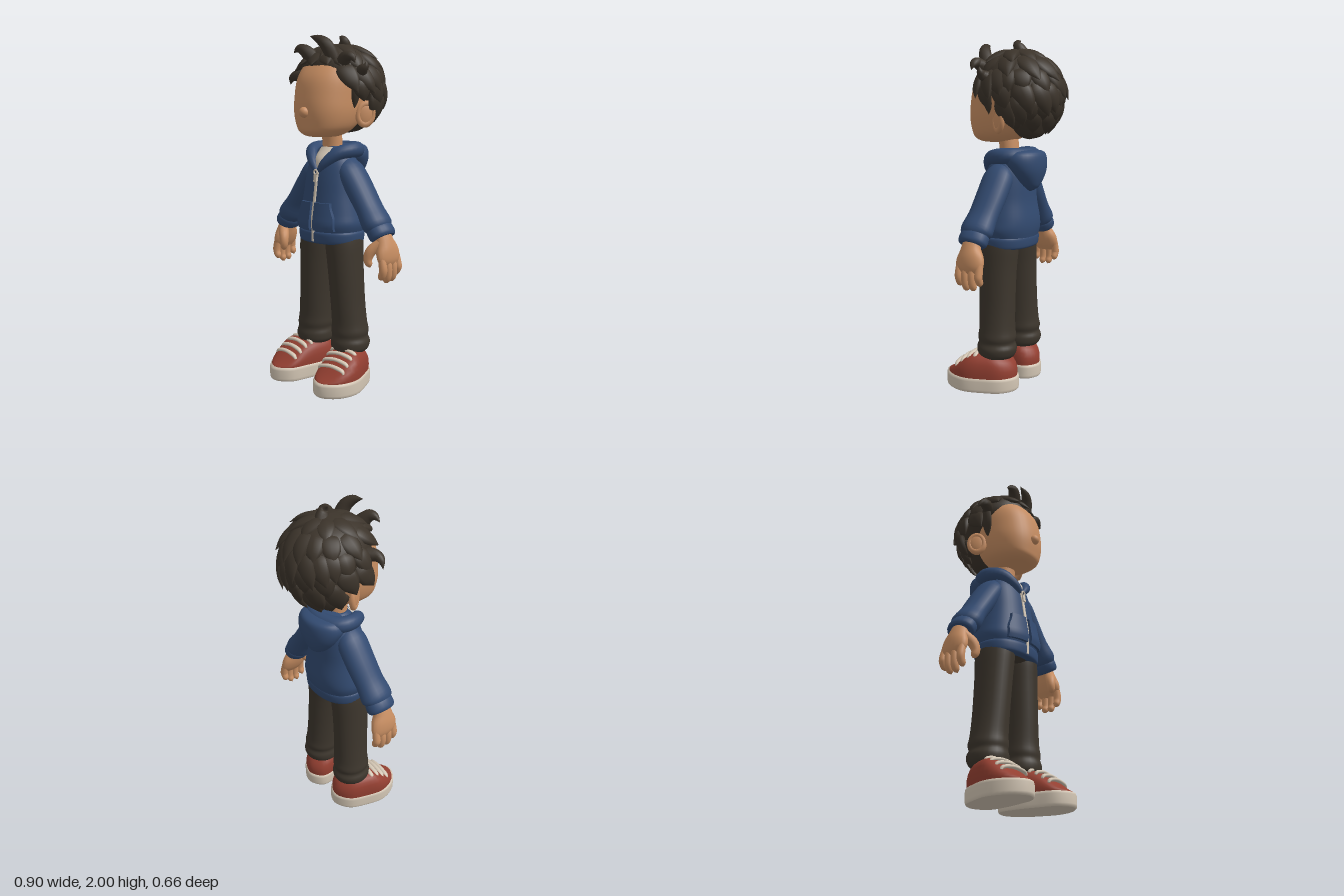
import * as THREE from 'three';

const { smoothstep, lerp } = THREE.MathUtils;
const mat = (name, color) => Object.assign(new THREE.MeshStandardMaterial({ color }), { name });
const M = {
  skin: mat('skin', 0xc98f63), hair: mat('dark brown hair', 0x3b332a), hoodie: mat('blue hoodie', 0x324a70),
  pants: mat('dark trousers', 0x3d362d), shoe: mat('red shoe', 0x933f31), cream: mat('cream', 0xd3c6b4),
};

// Closed surface through a list of rings, with flat end caps
function skin(rings) {
  const n = rings[0].length, pos = [], idx = [];
  rings.forEach(r => r.forEach(p => pos.push(p.x, p.y, p.z)));
  for (let i = 0; i < rings.length - 1; i++) for (let j = 0; j < n; j++) {
    const a = i * n + j, b = i * n + (j + 1) % n;
    idx.push(a, b, a + n, b, b + n, a + n);
  }
  [rings[0], rings[rings.length - 1]].forEach((r, end) => {
    const mid = r.reduce((s, p) => s.add(p), new THREE.Vector3()).divideScalar(n);
    if (mid.distanceTo(r[0]) < 0.002) return;
    const s = pos.length / 3;
    [mid, ...r].forEach(p => pos.push(p.x, p.y, p.z));
    for (let j = 0; j < n; j++) {
      const a = s + 1 + j, b = s + 1 + (j + 1) % n;
      end ? idx.push(s, a, b) : idx.push(s, b, a);
    }
  });
  const g = new THREE.BufferGeometry();
  g.setAttribute('position', new THREE.Float32BufferAttribute(pos, 3));
  g.setIndex(idx);
  g.computeVertexNormals();
  return g;
}

// Smooth limb through rows [x, y, z, ra, rb]; ra lies along ref, rb across it.
// flat keeps every ring horizontal; pow above 2 squares the section.
function limb(rows, { ref = [0, 0, 1], flat = false, pow = 2, n = 20, steps = 4 } = {}) {
  const at = i => rows[Math.max(0, Math.min(rows.length - 1, i))], samples = [];
  for (let k = 0; k <= (rows.length - 1) * steps; k++) {
    const i = Math.min(Math.floor(k / steps), rows.length - 2), t = k / steps - i;
    samples.push([0, 1, 2, 3, 4].map(c => {
      const [p0, p1, p2, p3] = [-1, 0, 1, 2].map(d => at(i + d)[c] ?? at(i + d)[3]);
      return p1 + 0.5 * t * (p2 - p0 + t * (2 * p0 - 5 * p1 + 4 * p2 - p3 + t * (3 * (p1 - p2) + p3 - p0)));
    }));
  }
  const pts = samples.map(s => new THREE.Vector3(s[0], s[1], s[2]));
  const sq = v => Math.sign(v) * Math.abs(v) ** (2 / pow);
  return skin(samples.map((s, i) => {
    const T = flat ? new THREE.Vector3(0, 1, 0)
      : pts[Math.min(i + 1, pts.length - 1)].clone().sub(pts[Math.max(i - 1, 0)]).normalize();
    const U = flat ? new THREE.Vector3(1, 0, 0) : new THREE.Vector3(...ref);
    U.addScaledVector(T, -U.dot(T)).normalize();
    const V = T.clone().cross(U);
    return Array.from({ length: n }, (_, j) => {
      const a = j / n * Math.PI * 2;
      return pts[i].clone().addScaledVector(U, Math.max(0, s[3]) * sq(Math.cos(a)))
        .addScaledVector(V, Math.max(0, s[4]) * sq(Math.sin(a)));
    });
  }));
}
// Upright body from rows [y, z, rx, rz] centred on x = 0
const body = (rows, opt) => limb(rows.map(([y, z, rx, rz]) => [0, y, z, rx, rz]), { flat: true, n: 32, ...opt });

function mirror(g) {
  const m = g.clone().scale(-1, 1, 1), ix = m.index;
  for (let i = 0; i < ix.count; i += 3) {
    const b = ix.getX(i + 1);
    ix.setX(i + 1, ix.getX(i + 2));
    ix.setX(i + 2, b);
  }
  return m;
}

// Hoodie torso rows, also used to lay details on its front
const TORSO = [[0.89, 0.015, 0.19, 0.155], [0.94, 0.015, 0.205, 0.165], [1.0, 0.01, 0.195, 0.16], [1.1, 0.01, 0.175, 0.145],
  [1.2, 0.005, 0.163, 0.135], [1.28, 0, 0.15, 0.12], [1.34, 0, 0.115, 0.09], [1.38, 0, 0.07, 0.06]];
function frontZ(x, y) {
  let i = 0;
  while (i < TORSO.length - 2 && TORSO[i + 1][0] < y) i++;
  const a = TORSO[i], b = TORSO[i + 1], t = Math.max(0, (y - a[0]) / (b[0] - a[0]));
  const [, z, rx, rz] = a.map((v, k) => lerp(v, b[k], t));
  return z + rz * (1 - Math.abs(x / rx) ** 2.3) ** (1 / 2.3);
}

// Tapered hair lock lying over the skull from polar angle t0 to t1
function lock(phi, t0, t1, swirl, w, lift) {
  const rows = [0.5, 1, 1, 0.68, 0].map((k, i) => {
    const f = i / 4, t = lerp(t0, t1, f), p = phi + swirl * f, e = 1 + lift * f * f - 0.04 * (1 - f);
    return [e * 0.245 * Math.sin(t) * Math.sin(p), 1.7 + e * 0.24 * Math.cos(t),
      -0.05 + e * 0.25 * Math.sin(t) * Math.cos(p), k * w, k * w * 0.45];
  });
  return limb(rows, { ref: [Math.cos(phi), 0, -Math.sin(phi)], n: 8 });
}
// How far down the hair reaches: high over the face, low at the nape
function hairline(phi) {
  const a = Math.abs(phi);
  return 1.08 + 0.78 * smoothstep(a, 0.75, 1.2) + 0.66 * smoothstep(a, 1.65, 2.0);
}

export function createModel() {
  const root = new THREE.Group();
  const group = name => {
    const g = new THREE.Group();
    g.name = name;
    root.add(g);
    return g;
  };
  const add = (parent, name, geo, material) => {
    const m = new THREE.Mesh(geo, material);
    m.name = name;
    parent.add(m);
  };
  const pair = (parent, name, geo, material) => {
    add(parent, name + 'Left', geo, material);
    add(parent, name + 'Right', mirror(geo), material);
  };

  // Head, nose, ears, neck
  const head = group('head');
  add(head, 'face', body([[1.43, 0.09, 0, 0], [1.436, 0.09, 0.075, 0.085], [1.46, 0.08, 0.125, 0.137], [1.5, 0.06, 0.157, 0.17],
    [1.57, 0.04, 0.178, 0.2], [1.65, 0.02, 0.184, 0.216], [1.75, 0, 0.184, 0.215], [1.83, -0.02, 0.165, 0.185],
    [1.9, -0.02, 0.1, 0.12], [1.93, -0.02, 0, 0]], { pow: 2.3, n: 40 }), M.skin);
  add(head, 'nose', new THREE.SphereGeometry(0.03, 20, 14).translate(0, 1.57, 0.238), M.skin);
  add(head, 'neck', body([[1.3, 0.01, 0.065, 0.06], [1.38, 0.01, 0.06, 0.056], [1.48, 0.02, 0.06, 0.056]]), M.skin);
  const place = g => g.rotateX(-0.15).rotateY(-0.55).translate(0.2, 1.56, -0.045);
  pair(head, 'earBowl', place(new THREE.SphereGeometry(1, 20, 14).scale(0.018, 0.068, 0.05)), M.skin);
  pair(head, 'earRim', place(new THREE.TorusGeometry(0.044, 0.016, 10, 28).rotateY(Math.PI / 2).scale(1, 1.28, 1)), M.skin);

  // Hair: cap, overlapping rings of locks, and loose tufts
  const hair = group('hair');
  add(hair, 'hairCap', body([[1.45, -0.12, 0, 0], [1.465, -0.13, 0.07, 0.05], [1.5, -0.13, 0.12, 0.08], [1.58, -0.12, 0.17, 0.13],
    [1.66, -0.12, 0.212, 0.17], [1.75, -0.07, 0.235, 0.22], [1.83, -0.05, 0.215, 0.22], [1.9, -0.04, 0.16, 0.17],
    [1.94, -0.04, 0.08, 0.09], [1.955, -0.04, 0, 0]]), M.hair);
  [[0.08, 0.85, 8], [0.5, 1.25, 13], [0.95, 1.6, 17], [1.3, 1.95, 17], [1.65, 2.25, 16], [1.95, 2.55, 14]].forEach(([t0, t1, n], r) => {
    for (let i = 0; i < n; i++) {
      const wob = Math.sin(i * 7.3 + r * 3.1);
      let phi = (i + r * 0.5) / n * Math.PI * 2 + wob * 0.08;
      if (phi > Math.PI) phi -= Math.PI * 2;
      const swirl = 0.22 + 0.12 * wob, end = Math.min(t1 + wob * 0.08, hairline(phi + swirl));
      if (end - t0 < 0.25) continue;
      const w = 0.95 * Math.PI * 0.25 * Math.sin((t0 + t1) / 2) / n * 1.25;
      add(hair, 'lock', lock(phi, t0, end, swirl, w, 0.1 + 0.05 * wob), M.hair);
    }
  });
  pair(hair, 'sideburn', limb([[0.2, 1.76, 0.03, 0.03, 0.02], [0.2, 1.69, 0.035, 0.035, 0.018], [0.188, 1.63, 0.03, 0.022, 0.012],
    [0.184, 1.59, 0.03, 0]], { n: 10 }), M.hair);
  [
    [[0.09, 1.86, 0.1, 0.04], [0.07, 1.93, 0.13, 0.036], [0.03, 1.965, 0.15, 0.025], [-0.03, 1.985, 0.16, 0]],
    [[0.0, 1.9, -0.1, 0.04], [0.02, 1.95, -0.07, 0.035], [0.02, 1.98, -0.055, 0.022], [-0.01, 2.0, -0.06, 0]],
    [[-0.04, 1.86, 0.12, 0.045], [-0.08, 1.91, 0.15, 0.035], [-0.12, 1.92, 0.16, 0.022], [-0.16, 1.9, 0.16, 0]],
    [[0.14, 1.84, 0.08, 0.04], [0.19, 1.87, 0.1, 0.032], [0.23, 1.86, 0.1, 0.02], [0.25, 1.83, 0.1, 0]],
    [[-0.19, 1.78, 0.03, 0.04], [-0.24, 1.78, 0.06, 0.032], [-0.28, 1.765, 0.06, 0.02], [-0.305, 1.73, 0.05, 0]],
    [[0.2, 1.78, 0.0, 0.04], [0.24, 1.8, 0.03, 0.03], [0.265, 1.82, 0.03, 0.018], [0.27, 1.845, 0.03, 0]],
  ].forEach(rows => add(hair, 'tuft', limb(rows, { ref: [0.2, 0, 1], n: 10 }), M.hair));

  // Hoodie body, hem, hood
  const top = group('hoodie');
  add(top, 'torso', body(TORSO, { pow: 2.3, n: 40 }), M.hoodie);
  add(top, 'hem', body([[0.83, 0.018, 0.184, 0.146], [0.842, 0.018, 0.196, 0.157], [0.888, 0.018, 0.2, 0.16],
    [0.903, 0.018, 0.188, 0.148]], { pow: 2.3, n: 40 }), M.hoodie);
  const rim = [[0.008, 1.24, 0.138, 0.012], [0.045, 1.285, 0.125, 0.026], [0.1, 1.34, 0.075, 0.038], [0.135, 1.358, 0, 0.043],
    [0.11, 1.358, -0.075, 0.046], [0, 1.355, -0.115, 0.048]];
  const rimBack = rim.slice(0, -1).reverse().map(([x, ...rest]) => [-x, ...rest]);
  add(top, 'hoodRim', limb([...rim, ...rimBack], { ref: [0, 1, 0], n: 16 }), M.hoodie);
  add(top, 'hoodBag', body([[1.15, -0.12, 0, 0], [1.175, -0.125, 0.045, 0.045], [1.21, -0.125, 0.085, 0.066], [1.27, -0.12, 0.13, 0.088],
    [1.33, -0.1, 0.153, 0.11], [1.375, -0.1, 0.135, 0.098], [1.39, -0.1, 0.08, 0.06], [1.392, -0.1, 0, 0]]), M.hoodie);

  // Pocket halves wrapped on the torso front
  const pocket = new THREE.BoxGeometry(1, 1, 1, 8, 8, 1), p = pocket.attributes.position;
  for (let i = 0; i < p.count; i++) {
    const v = p.getY(i) + 0.5, y = 0.908 + 0.157 * v;
    const x = 0.014 + (p.getX(i) + 0.5) * (0.126 - 0.03 * smoothstep(v, 0.3, 1));
    p.setXYZ(i, x, y, frontZ(x, y) + (p.getZ(i) > 0 ? 0.018 : -0.015));
  }
  pocket.computeVertexNormals();
  pair(top, 'pocket', pocket, M.hoodie);

  // Zip, zip pull, undershirt
  const zip = [0.842, 0.9, 0.98, 1.06, 1.14, 1.2, 1.25].map(y => [0, y, frontZ(0, y) + 0.003, 0.011, 0.006]);
  add(top, 'zip', limb(zip, { ref: [1, 0, 0], n: 8 }), M.cream);
  add(top, 'zipPull', new THREE.BoxGeometry(0.022, 0.04, 0.009).rotateX(-0.13).translate(0, 1.2, 0.153), M.cream);
  add(top, 'zipRing', new THREE.TorusGeometry(0.013, 0.005, 8, 20).translate(0, 1.235, 0.15), M.cream);
  add(top, 'undershirt', body([[1.22, 0.07, 0.05, 0.06], [1.26, 0.065, 0.06, 0.071], [1.31, 0.05, 0.072, 0.075],
    [1.355, 0.02, 0.072, 0.068], [1.375, 0.012, 0.065, 0.06]]), M.cream);

  // Sleeves and cuffs
  const arms = group('arms');
  pair(arms, 'sleeve', limb([[0.08, 1.29, 0, 0.05, 0.045], [0.13, 1.24, 0, 0.09, 0.068], [0.2, 1.145, 0, 0.093, 0.07],
    [0.28, 1.035, 0.005, 0.09, 0.066], [0.335, 0.96, 0.01, 0.098, 0.073], [0.355, 0.93, 0.01, 0.08, 0.06]]), M.hoodie);
  pair(arms, 'cuff', limb([[0.342, 0.948, 0.01, 0.075, 0.056], [0.355, 0.931, 0.01, 0.087, 0.066], [0.376, 0.902, 0.01, 0.087, 0.066],
    [0.385, 0.889, 0.01, 0.077, 0.056]]), M.hoodie);

  // Hands
  pair(arms, 'palm', limb([[0.37, 0.92, 0.01, 0.05, 0.043], [0.39, 0.87, 0.01, 0.06, 0.044], [0.405, 0.82, 0.005, 0.083, 0.044],
    [0.417, 0.77, 0.003, 0.085, 0.034], [0.42, 0.735, 0.003, 0.055, 0.016]]), M.skin);
  [[0.066, 0.665], [0.023, 0.642], [-0.021, 0.645], [-0.063, 0.675]].forEach(([z, y]) => pair(arms, 'finger',
    limb([[0.415, 0.79, z, 0.02], [0.427, 0.735, z, 0.023], [0.426, y + 0.04, z, 0.022], [0.412, y + 0.012, z, 0.018],
      [0.402, y, z, 0]], { n: 12 }), M.skin));
  pair(arms, 'thumb', limb([[0.39, 0.865, 0.04, 0.03], [0.35, 0.82, 0.075, 0.03], [0.336, 0.775, 0.087, 0.025],
    [0.344, 0.742, 0.083, 0.018], [0.35, 0.728, 0.08, 0]], { n: 12 }), M.skin);

  // Trousers with gathered ankles
  const legs = group('trousers');
  add(legs, 'seat', body([[0.815, 0.02, 0.1, 0.08], [0.84, 0.02, 0.18, 0.122], [0.9, 0.02, 0.18, 0.13]]), M.pants);
  pair(legs, 'leg', limb([[0.14, 0.195, 0.01, 0.092, 0.098], [0.14, 0.215, 0.01, 0.108, 0.113], [0.141, 0.25, 0.008, 0.111, 0.118],
    [0.139, 0.282, 0.01, 0.101, 0.108], [0.138, 0.315, 0.008, 0.106, 0.113], [0.134, 0.37, 0.01, 0.1, 0.107],
    [0.125, 0.5, 0.015, 0.095, 0.108], [0.112, 0.7, 0.02, 0.097, 0.114], [0.102, 0.83, 0.02, 0.1, 0.122],
    [0.1, 0.9, 0.02, 0.09, 0.12]], { flat: true, n: 28 }), M.pants);

  // Shoes: one footprint drives the sole and the domed upper
  const shoes = group('shoes');
  const print = new THREE.CatmullRomCurve3([[0.125, -0.12], [0.04, -0.07], [0.036, 0.05], [0.058, 0.16], [0.095, 0.275], [0.185, 0.325],
    [0.276, 0.265], [0.312, 0.15], [0.278, 0.03], [0.222, -0.075]].map(([x, z]) => new THREE.Vector3(x, 0, z)), true).getPoints(40).slice(0, 40);
  const height = z => 0.02 + 0.125 * (1 - smoothstep(z, 0.08, 0.33)) - 0.03 * (1 - smoothstep(z, -0.12, 0));
  const ring = (s, yOf) => print.map(q => {
    const x = 0.16 + (q.x - 0.16) * s, z = 0.06 + (q.z - 0.06) * s;
    return new THREE.Vector3(x, yOf(z), z);
  });
  pair(shoes, 'sole', skin([[0.96, 0], [0.99, 0.006], [1, 0.018], [1, 0.066], [0.985, 0.077], [0.95, 0.082]]
    .map(([s, y]) => ring(s, () => y))), M.cream);
  pair(shoes, 'upper', skin([[0.94, 0], [0.95, 0.2], [0.94, 0.4], [0.9, 0.6], [0.82, 0.76], [0.7, 0.88], [0.55, 0.95], [0.35, 1], [0.1, 1.01]]
    .map(([s, h]) => ring(s, z => 0.075 + h * height(z)))), M.shoe);
  [[0.1, 0.168], [0.14, 0.175], [0.18, 0.18], [0.218, 0.184]].forEach(([z, x]) => {
    const y = 0.082 + 0.95 * height(z);
    pair(shoes, 'lace', limb([[x - 0.088, y - 0.024, z + 0.008, 0.008, 0.005], [x - 0.07, y - 0.006, z + 0.007, 0.014, 0.01],
      [x, y + 0.005, z, 0.014, 0.01], [x + 0.07, y - 0.006, z - 0.007, 0.014, 0.01],
      [x + 0.088, y - 0.024, z - 0.008, 0.008, 0.005]], { n: 10 }), M.cream);
  });
  return root;
}
